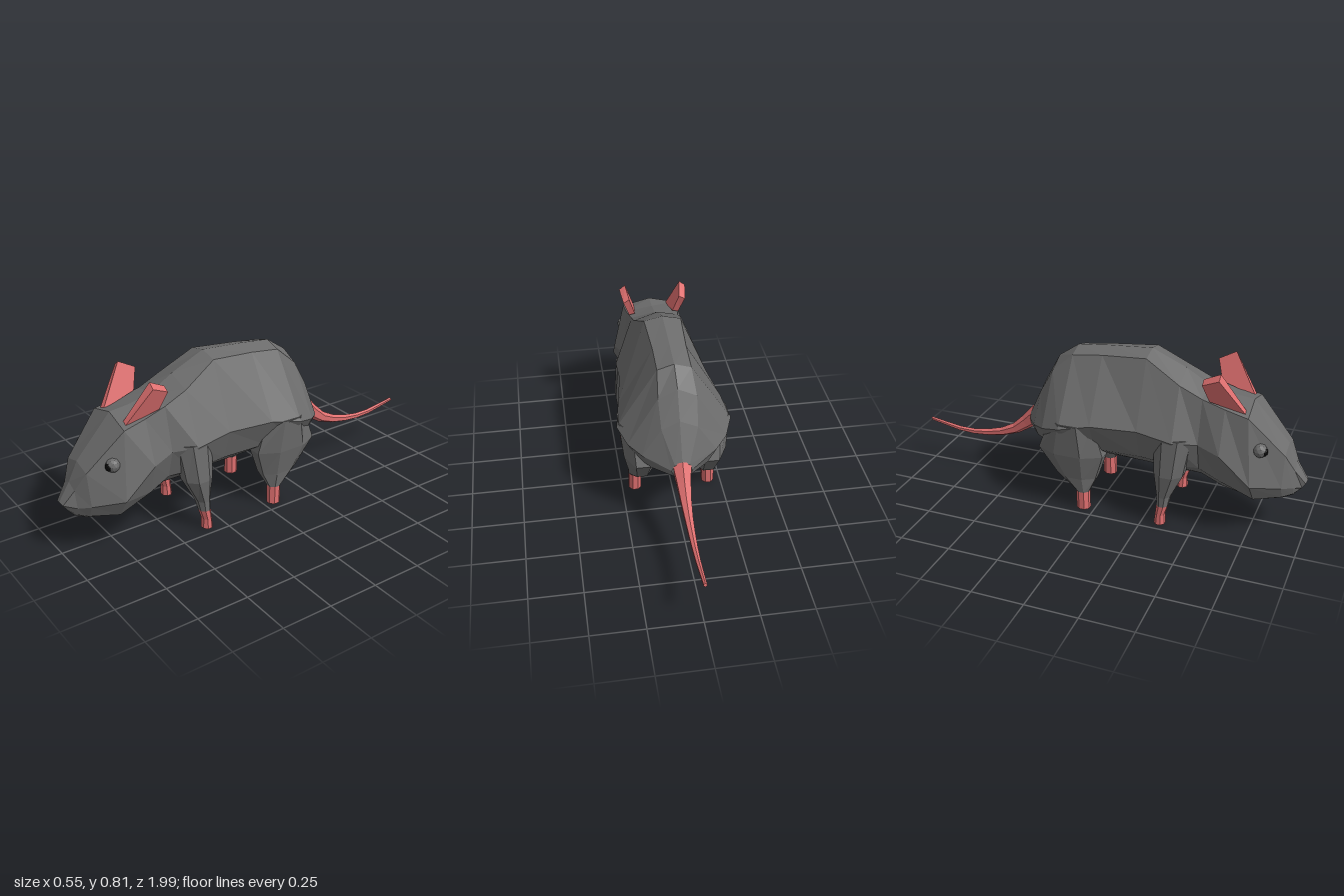
import * as THREE from 'three';

const mat = (name, color) => new THREE.MeshStandardMaterial({ name, color, flatShading: true });

// Skin over a list of rings; each ring runs clockwise seen from the first ring.
// pick(i, j) returns the material index of a panel; i is -1 on the first cap.
function loft(name, rings, materials, pick = () => 0) {
  const lists = materials.map(() => []);
  const n = rings[0].length, last = rings.length - 1;
  const tri = (m, ...pts) => pts.forEach(p => lists[m].push(...p));
  for (let i = 0; i < last; i++) {
    for (let j = 0; j < n; j++) {
      const k = (j + 1) % n, m = pick(i, j);
      tri(m, rings[i][j], rings[i][k], rings[i + 1][k]);
      tri(m, rings[i][j], rings[i + 1][k], rings[i + 1][j]);
    }
  }
  for (let j = 1; j < n - 1; j++) {
    tri(pick(-1, j), rings[0][0], rings[0][j + 1], rings[0][j]);
    tri(pick(last, j), rings[last][0], rings[last][j], rings[last][j + 1]);
  }
  const geo = new THREE.BufferGeometry();
  let start = 0;
  lists.forEach((l, m) => { geo.addGroup(start, l.length / 3, m); start += l.length / 3; });
  geo.setAttribute('position', new THREE.Float32BufferAttribute(lists.flat(), 3));
  geo.computeVertexNormals();
  const mesh = new THREE.Mesh(geo, materials);
  mesh.name = name;
  return mesh;
}

// Closed body ring: spine, shoulder and side are given, flank and belly edge follow from them.
// lean shifts the ring in z towards its top.
function bodyRing([z, top, shoulderX, shoulderY, sideX, sideY, bottom, lean = 0]) {
  const rise = f => bottom + f * (sideY - bottom);
  const half = [[0, top], [shoulderX, shoulderY], [sideX, sideY],
    [sideX * 0.76, rise(0.36)], [sideX * 0.45, rise(0.12)], [0, bottom]]
    .map(([x, y]) => [x, y, z + lean * (y - bottom) / (top - bottom)]);
  const mirrored = half.slice(1, -1).reverse().map(([x, y, pz]) => [-x, y, pz]);
  return [...half, ...mirrored];
}

export function createModel() {
  const fur = mat('grey fur', 0x6c6c6c);
  const skin = mat('pink skin', 0xe07070);
  const black = mat('eye black', 0x0a0a0a);
  const model = new THREE.Group();

  // Head and body, nose to rump; nose tip and belly are bare skin
  const body = [
    [0.955, 0.268, 0.03, 0.262, 0.033, 0.24, 0.216, 0.035],
    [0.935, 0.355, 0.05, 0.33, 0.07, 0.25, 0.19],
    [0.89, 0.445, 0.09, 0.42, 0.12, 0.265, 0.172],
    [0.775, 0.637, 0.14, 0.6, 0.2, 0.285, 0.155, -0.06],
    [0.61, 0.648, 0.135, 0.625, 0.205, 0.42, 0.18],
    [0.5, 0.675, 0.12, 0.65, 0.17, 0.44, 0.22],
    [0.39, 0.74, 0.12, 0.7, 0.22, 0.45, 0.235],
    [0.22, 0.815, 0.09, 0.795, 0.22, 0.48, 0.24],
    [0, 0.797, 0.08, 0.775, 0.25, 0.48, 0.255],
    [-0.15, 0.78, 0.08, 0.755, 0.275, 0.45, 0.26],
    [-0.25, 0.71, 0.09, 0.665, 0.235, 0.42, 0.27],
    [-0.32, 0.58, 0.085, 0.54, 0.175, 0.4, 0.285],
    [-0.4, 0.405, 0.035, 0.39, 0.05, 0.36, 0.31],
  ].map(bodyRing);
  model.add(loft('body', body, [fur, skin],
    (i, j) => (i < 0 || (i >= 4 && (j === 4 || j === 5)) ? 1 : 0)));

  // Tail: tapering hexagonal rings along a drooping curve
  const curve = new THREE.CatmullRomCurve3([[0.37, -0.375], [0.25, -0.53], [0.198, -0.77], [0.23, -1]]
    .map(([y, z]) => new THREE.Vector3(0, y, z)));
  const tail = Array.from({ length: 9 }, (_, i) => {
    const u = i / 8, p = curve.getPointAt(u), d = curve.getTangentAt(u);
    const r = 0.009 + 0.015 * (1 - u) + 0.026 * (1 - u) ** 4;
    return Array.from({ length: 6 }, (_, j) => {
      const t = j * Math.PI / 3, up = r * Math.cos(t);
      return [r * Math.sin(t), p.y - up * d.z, p.z + up * d.y];
    });
  });
  model.add(loft('tail', tail, [skin]));

  // Legs: [y, x, z, half width, half depth] from hip to sole; bare below the ankle
  const legs = {
    FrontLeg: [[0.46, 0.145, 0.38, 0.07, 0.09], [0.27, 0.16, 0.37, 0.07, 0.07], [0.15, 0.173, 0.35, 0.042, 0.033],
      [0.1, 0.185, 0.347, 0.03, 0.027], [0.05, 0.186, 0.337, 0.028, 0.022], [0, 0.186, 0.336, 0.03, 0.026]],
    HindLeg: [[0.47, 0.17, -0.11, 0.095, 0.11], [0.3, 0.165, -0.12, 0.083, 0.165], [0.17, 0.163, -0.095, 0.06, 0.1],
      [0.095, 0.185, -0.06, 0.031, 0.032], [0, 0.186, -0.058, 0.03, 0.032]],
  };
  const corner = 1 / Math.cos(Math.PI / 8);
  for (const [name, rows] of Object.entries(legs)) {
    for (const side of [1, -1]) {
      const rings = rows.map(([y, x, z, w, d]) => Array.from({ length: 8 }, (_, j) => {
        const t = (j + 0.5) * Math.PI / 4;
        return [side * x + w * corner * Math.sin(t), y, z - d * corner * Math.cos(t)];
      }));
      model.add(loft((side > 0 ? 'left' : 'right') + name, rings, [fur, skin], i => (i >= 3 ? 1 : 0)));
    }
  }

  // Ears: slanted slabs leaning outwards
  const outline = [[-0.7, 0.61], [-0.535, 0.655], [-0.505, 0.755], [-0.585, 0.797]];
  const earGeo = new THREE.ExtrudeGeometry(
    new THREE.Shape(outline.map(p => new THREE.Vector2(...p))), { depth: 0.03, bevelEnabled: false });
  const pos = earGeo.attributes.position;
  for (let i = 0; i < pos.count; i++) {
    const x = pos.getX(i), y = pos.getY(i), d = pos.getZ(i);
    pos.setXYZ(i, 0.085 + (y - 0.61) * 0.3 + d, y - d * (y - 0.6) * 4, -x);
  }
  earGeo.computeVertexNormals();

  // Ears and eyes on both sides
  for (const side of [1, -1]) {
    const label = side > 0 ? 'left' : 'right';
    const ear = new THREE.Mesh(earGeo, skin);
    ear.name = label + 'Ear';
    ear.scale.x = side;
    const lid = new THREE.Mesh(new THREE.IcosahedronGeometry(0.034, 1), fur);
    lid.name = label + 'Eyelid';
    lid.position.set(side * 0.135, 0.452, 0.782);
    const eye = new THREE.Mesh(new THREE.IcosahedronGeometry(0.023, 1), black);
    eye.name = label + 'Eye';
    eye.position.set(side * 0.137, 0.45, 0.797);
    model.add(ear, lid, eye);
  }
  return model;
}
